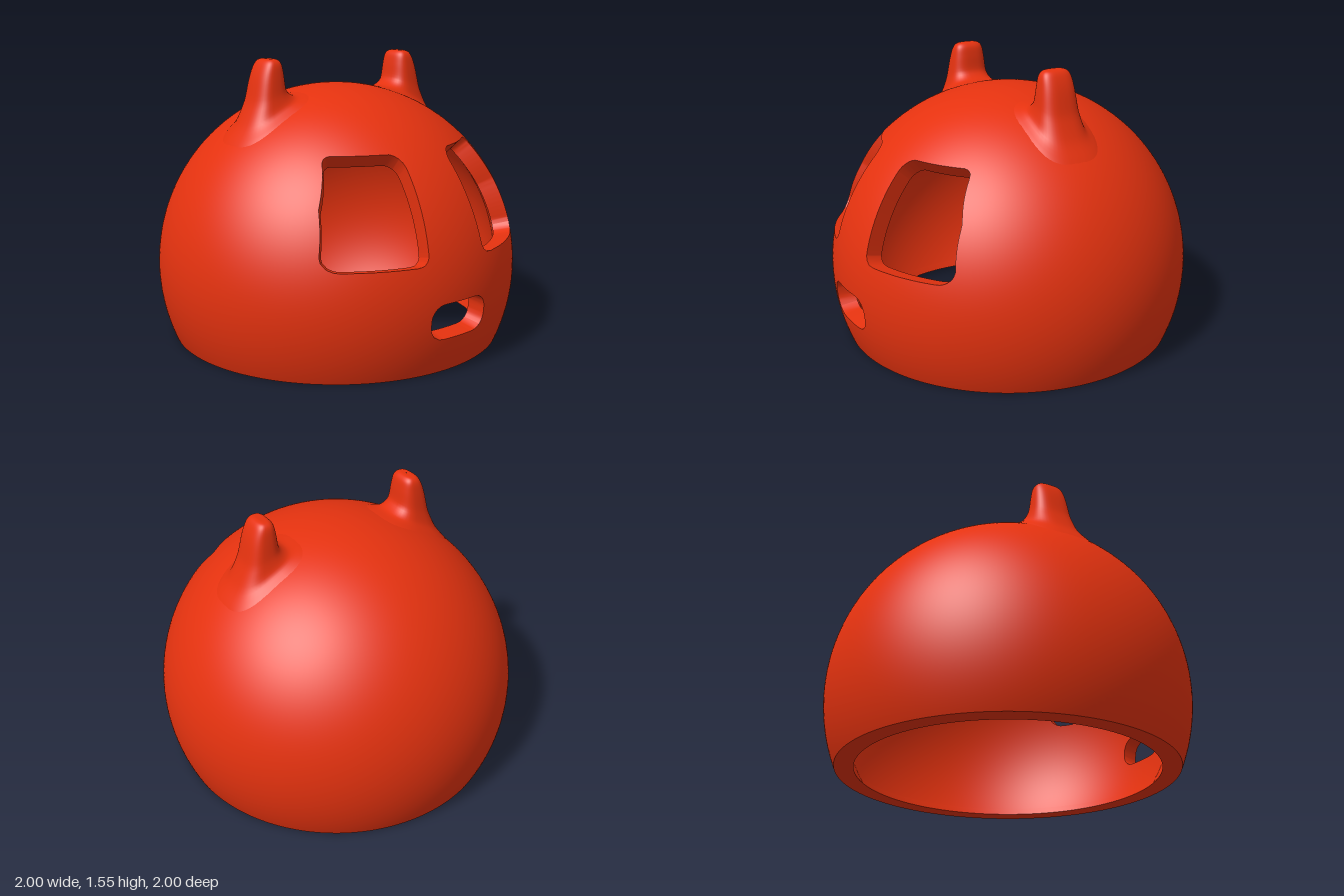
import * as THREE from 'three';
import { mergeVertices, toCreasedNormals } from 'three/addons/utils/BufferGeometryUtils.js';

const CY = 0.39;      // height of the dome's centre, outer radius 1
const INNER = 0.905;  // inner radius of the shell
const V2 = (x, y) => new THREE.Vector2(x, y);

// Rounded openings on the +x side, as inset outlines (|z|, y) plus a corner radius
const openings = [
  { r: 0.06, pts: [V2(0.245, 0.65), V2(0.607, 0.65), V2(0.556, 0.853), V2(0.457, 1.045), V2(0.212, 1.045)] },
  { r: 0.08, pts: [V2(-0.105, 0.28), V2(0.105, 0.28), V2(0.105, 0.31), V2(-0.105, 0.31)] },
];

// Signed distance to a convex counter-clockwise outline
function outlineDistance(p, pts) {
  let best = Infinity, inside = true;
  pts.forEach((a, i) => {
    const e = pts[(i + 1) % pts.length].clone().sub(a), w = p.clone().sub(a);
    const t = THREE.MathUtils.clamp(w.dot(e) / e.dot(e), 0, 1);
    if (e.cross(w) < 0) inside = false;
    best = Math.min(best, w.sub(e.multiplyScalar(t)).length());
  });
  return inside ? -best : best;
}

function openingValue(d) {
  if (d.x <= 0) return 1;
  const p = V2(Math.abs(d.z), d.y + CY);
  return Math.min(...openings.map((o) => outlineDistance(p, o.pts) - o.r));
}

function makeGeometry(positions, normals) {
  const g = new THREE.BufferGeometry();
  g.setAttribute('position', new THREE.Float32BufferAttribute(positions, 3));
  if (normals) g.setAttribute('normal', new THREE.Float32BufferAttribute(normals, 3));
  return g;
}

// Dome shell: a sphere grid clipped at the openings, plus the opening walls
function shellGeometries() {
  const ROWS = 76, COLS = 192, end = Math.acos(-CY);
  const grid = [];
  for (let i = 0; i <= ROWS; i++) {
    const row = [];
    for (let j = 0; j <= COLS; j++) {
      const th = (i / ROWS) * end, ph = (j / COLS) * Math.PI * 2;
      const d = new THREE.Vector3(Math.sin(th) * Math.cos(ph), Math.cos(th), -Math.sin(th) * Math.sin(ph));
      row.push({ d, f: openingValue(d), cut: false });
    }
    grid.push(row);
  }
  const outer = [], outerN = [], inner = [], innerN = [], wall = [];
  const put = (list, d, r) => list.push(d.x * r, d.y * r + CY, d.z * r);

  function clip(tri) {
    const poly = [];
    tri.forEach((a, k) => {
      const b = tri[(k + 1) % 3];
      if (a.f >= 0) poly.push(a);
      if ((a.f >= 0) !== (b.f >= 0)) {
        poly.push({ d: a.d.clone().lerp(b.d, a.f / (a.f - b.f)).normalize(), cut: true });
      }
    });
    for (let k = 1; k + 1 < poly.length; k++) {
      const t = [poly[0].d, poly[k].d, poly[k + 1].d];
      for (const d of t) { put(outer, d, 1); outerN.push(d.x, d.y, d.z); }
      for (const d of t.reverse()) { put(inner, d, INNER); innerN.push(-d.x, -d.y, -d.z); }
    }
    poly.forEach((a, k) => {
      const b = poly[(k + 1) % poly.length];
      if (!a.cut || !b.cut) return;
      // of the two cut points, the wall runs along the side that leaves the material
      for (const [p, r] of [[a, 1], [a, INNER], [b, 1], [b, 1], [a, INNER], [b, INNER]]) put(wall, p.d, r);
    });
  }

  for (let i = 0; i < ROWS; i++) {
    for (let j = 0; j < COLS; j++) {
      const a = grid[i][j], b = grid[i + 1][j], c = grid[i + 1][j + 1], d = grid[i][j + 1];
      clip([a, b, c]);
      if (i > 0) clip([a, c, d]);
    }
  }
  const wallGeometry = mergeVertices(makeGeometry(wall), 1e-4);
  wallGeometry.computeVertexNormals();
  return {
    outerShell: makeGeometry(outer, outerN),
    innerShell: makeGeometry(inner, innerN),
    openingWalls: wallGeometry,
  };
}

// Flat bottom rim joining the outer and inner surfaces
function rimGeometry() {
  const edge = Math.sqrt(1 - CY * CY);
  const pts = [V2(edge * INNER, CY * (1 - INNER)), V2(Math.sqrt(INNER * INNER - CY * CY), 0), V2(edge, 0)];
  return toCreasedNormals(new THREE.LatheGeometry(pts, 192), 0.6);
}

// Horn: rounded-square sections that flare out onto the dome
function hornGeometry() {
  const TIP = 1.548, ROWS = 36, SIDES = 40;
  // half width, inner z, outer z, blend from dome surface (0) to tip height (1)
  const levels = [
    [0.19, 0.25, 0.70, -0.008], [0.135, 0.33, 0.625, 0.09], [0.11, 0.383, 0.57, 0.33],
    [0.096, 0.395, 0.54, 0.68], [0.085, 0.405, 0.515, 0.88], [0.068, 0.42, 0.495, 0.97],
    [0.04, 0.437, 0.473, 1], [0.001, 0.455, 0.456, 1],
  ];
  const shape = new THREE.CatmullRomCurve3(levels.map((l) => new THREE.Vector3(l[0], l[1], l[2])));
  const blend = new THREE.CatmullRomCurve3(levels.map((l, i) => new THREE.Vector3(l[3], i, 0)));
  const soft = (v) => Math.sign(v) * Math.pow(Math.abs(v), 0.7);
  const pos = [], index = [];
  for (let k = 0; k <= ROWS; k++) {
    const s = shape.getPoint(k / ROWS), b = Math.min(1, blend.getPoint(k / ROWS).x);
    for (let j = 0; j < SIDES; j++) {
      const a = (j / SIDES) * Math.PI * 2;
      const x = s.x * soft(Math.cos(a));
      const z = (s.y + s.z) / 2 + ((s.z - s.y) / 2) * soft(Math.sin(a));
      const dome = CY + Math.sqrt(1 - x * x - z * z);
      pos.push(x, dome + (TIP - dome) * b, z);
      if (k === ROWS) continue;
      const n = (j + 1) % SIDES, p = k * SIDES, q = p + SIDES;
      index.push(p + j, q + j, q + n, p + j, q + n, p + n);
    }
  }
  const g = makeGeometry(pos);
  g.setIndex(index);
  g.computeVertexNormals();
  return g;
}

export function createModel() {
  const model = new THREE.Group();
  model.name = 'hornedDome';
  const material = new THREE.MeshStandardMaterial({ color: 0xe5320f });
  const rimMaterial = new THREE.MeshStandardMaterial({ color: 0xe5320f, side: THREE.DoubleSide });
  const add = (name, geometry, mat = material) => {
    const mesh = new THREE.Mesh(geometry, mat);
    mesh.name = name;
    model.add(mesh);
    return mesh;
  };

  for (const [name, geometry] of Object.entries(shellGeometries())) add(name, geometry);
  add('bottomRim', rimGeometry(), rimMaterial);

  // Matching horns at the front and back
  const horn = hornGeometry();
  add('frontHorn', horn);
  add('backHorn', horn).rotation.y = Math.PI;
  return model;
}
